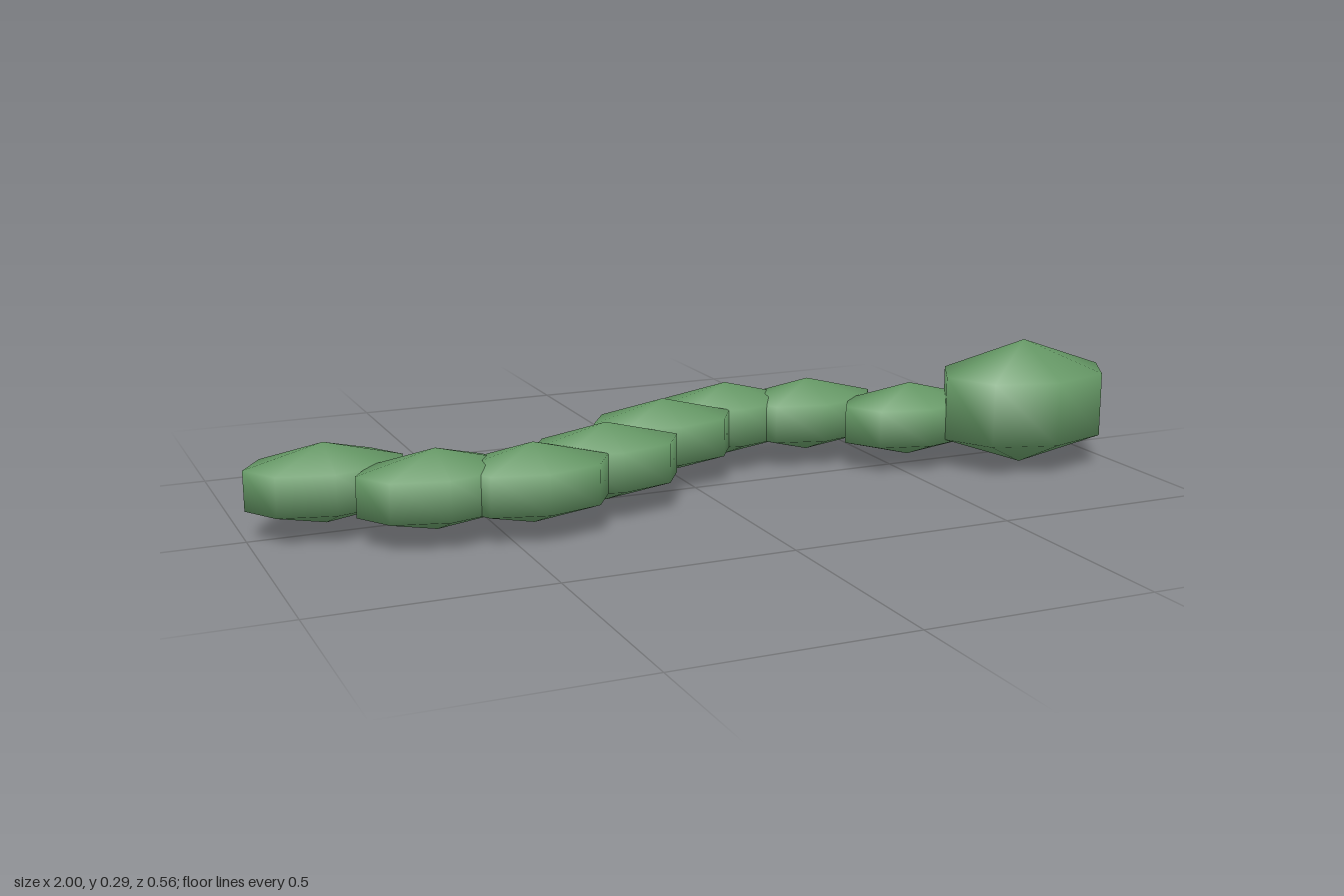
import * as THREE from 'three';

// Low-poly ellipsoid: 8 sides, 3 bands, smooth normals
const ball = new THREE.SphereGeometry(1, 8, 3);
const skin = new THREE.MeshStandardMaterial({ color: 0x669966 });

function addBall(group, name, position, radii) {
  const mesh = new THREE.Mesh(ball.clone().scale(...radii), skin);
  mesh.name = name;
  mesh.position.set(...position);
  group.add(mesh);
}

export function createModel() {
  const model = new THREE.Group();
  model.name = 'segmentedCrawler';

  // Body segments winding along a sine wave from tail to neck
  for (let i = 0; i < 8; i++) {
    const x = -0.834 + 0.197 * i;
    const z = 0.176 * Math.sin(0.9 * i);
    addBall(model, `bodySegment${i + 1}`, [x, 0.11, z], [0.192, 0.086, 0.126]);
  }

  // Larger head at the +x end
  addBall(model, 'head', [0.794, 0.149, 0.1], [0.238, 0.147, 0.177]);
  return model;
}
